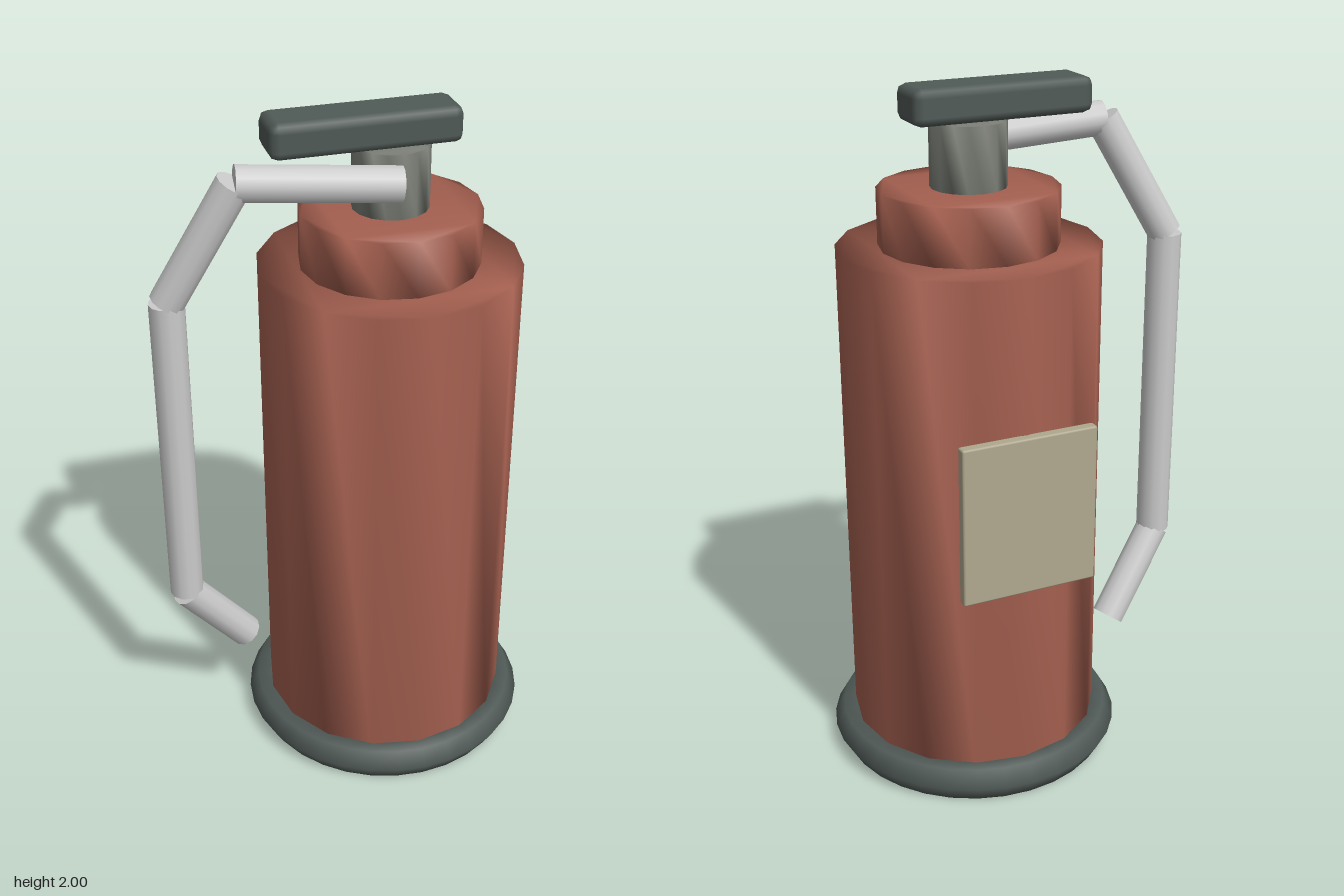
import * as THREE from 'three';
import { mergeVertices } from 'three/addons/utils/BufferGeometryUtils.js';
import { RoundedBoxGeometry } from 'three/addons/geometries/RoundedBoxGeometry.js';

const AXIS_X = 0.12;

// Closed prism with soft, welded normals, standing from y0 to y1
function drumGeometry(radius, y0, y1, sides) {
  const points = [];
  for (let i = 0; i < sides; i++) {
    const a = (i / sides) * Math.PI * 2;
    points.push(new THREE.Vector2(Math.cos(a) * radius, Math.sin(a) * radius));
  }
  let geometry = new THREE.ExtrudeGeometry(new THREE.Shape(points), { depth: y1 - y0, bevelEnabled: false });
  geometry.rotateX(-Math.PI / 2).translate(AXIS_X, y0, 0);
  geometry.deleteAttribute('normal');
  geometry.deleteAttribute('uv');
  geometry = mergeVertices(geometry, 1e-4);
  geometry.computeVertexNormals();
  return geometry;
}

export function createModel() {
  const group = new THREE.Group();
  const material = (color) => new THREE.MeshStandardMaterial({ color });
  const red = material(0xa35f4f);
  const dark = material(0x505a57);
  const metal = material(0x7a7d75);
  const cream = material(0xb0a88e);
  const grey = material(0xcccccc);

  const add = (name, geometry, mat, parent = group) => {
    const mesh = new THREE.Mesh(geometry, mat);
    mesh.name = name;
    parent.add(mesh);
    return mesh;
  };

  // Tank, shoulder and valve stacked on one axis
  add('tank', drumGeometry(0.37, 0.005, 1.56, 16), red);
  add('shoulder', drumGeometry(0.253, 1.555, 1.72, 16), red);
  add('valve', drumGeometry(0.107, 1.71, 1.9, 16), metal);

  // Six-sided ring around the foot
  const ring = add('baseRing', new THREE.TorusGeometry(0.377, 0.0577, 6, 32), dark);
  ring.rotation.x = Math.PI / 2;
  ring.position.set(AXIS_X, 0.05, 0);

  // Chamfered lever on top
  add('lever', new RoundedBoxGeometry(0.525, 0.1, 0.15, 1, 0.025), dark).position.set(0.038, 1.95, 0);

  // Label plate on the back
  add('labelPlate', new RoundedBoxGeometry(0.4, 0.465, 0.034, 1, 0.006), cream).position.set(0.118, 0.893, -0.378);

  // Hose made of straight pipes between bend points
  const hose = new THREE.Group();
  hose.name = 'hose';
  group.add(hose);
  const bends = [
    [0.115, 1.823, 0.11],
    [-0.32, 1.856, 0.06],
    [-0.505, 1.515, 0],
    [-0.505, 0.55, 0],
    [-0.318, 0.3, -0.06],
  ].map((p) => new THREE.Vector3(...p));
  for (let i = 0; i < bends.length - 1; i++) {
    const [a, b] = [bends[i], bends[i + 1]];
    const direction = b.clone().sub(a);
    const pipe = add('hoseSegment', new THREE.CylinderGeometry(0.05, 0.05, direction.length(), 12), grey, hose);
    pipe.position.copy(a).lerp(b, 0.5);
    pipe.quaternion.setFromUnitVectors(new THREE.Vector3(0, 1, 0), direction.normalize());
  }
  return group;
}
